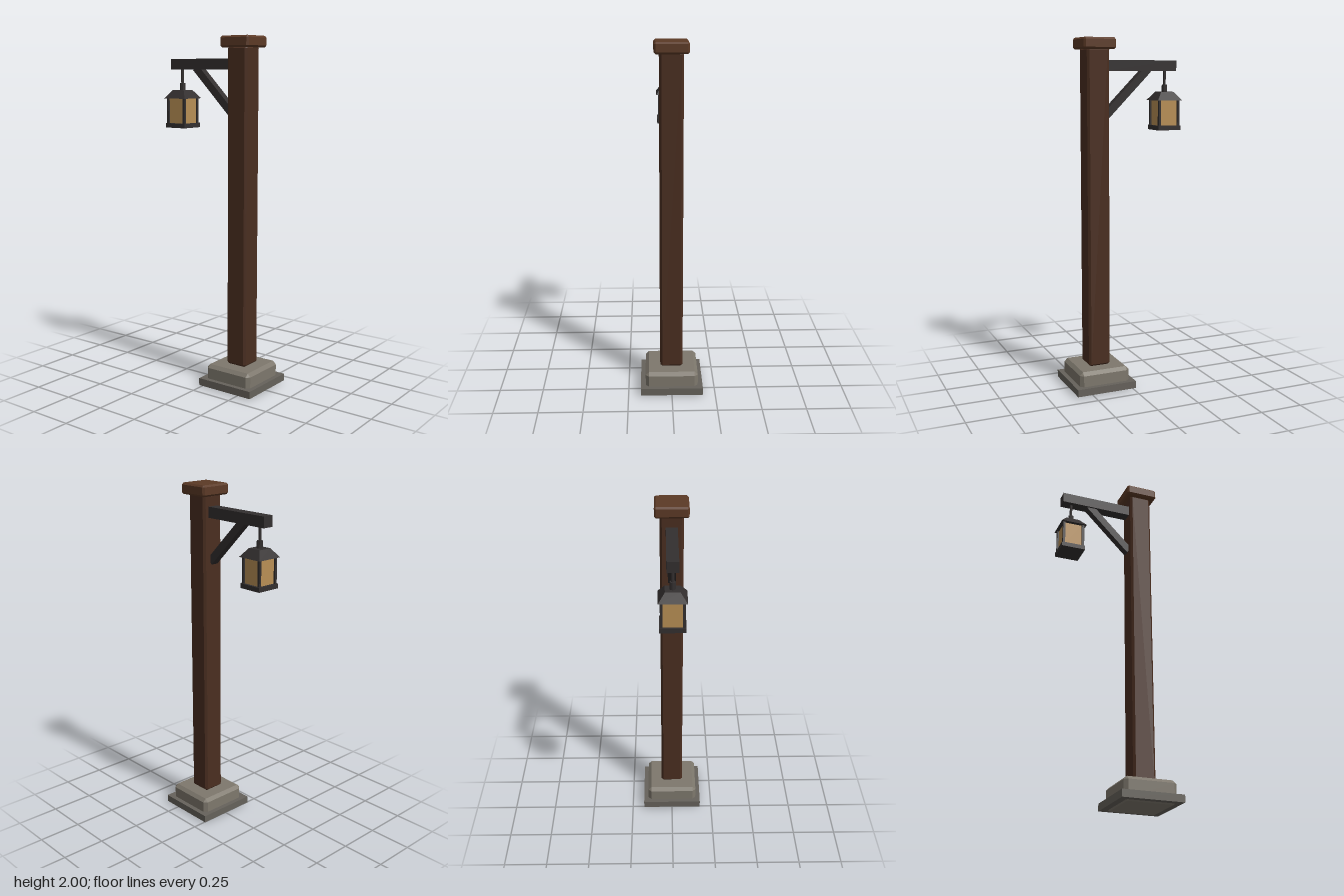
import * as THREE from 'three';
import { ConvexGeometry } from 'three/addons/geometries/ConvexGeometry.js';

const material = (color) => new THREE.MeshStandardMaterial({ color, flatShading: true });

// Box of full size w, h, d with every edge and corner cut by c
function chamferBox(w, h, d, c) {
  const half = [w / 2, h / 2, d / 2];
  const points = [];
  for (const sx of [-1, 1]) for (const sy of [-1, 1]) for (const sz of [-1, 1])
    for (let axis = 0; axis < 3; axis++) {
      const p = [sx, sy, sz].map((s, i) => s * (half[i] - (i === axis ? 0 : c)));
      points.push(new THREE.Vector3(...p));
    }
  return new ConvexGeometry(points);
}

export function createModel() {
  const model = new THREE.Group();
  model.name = 'lanternPost';

  const darkWood = material(0x4a2e20);
  const wood = material(0x5c3a26);
  const stone = material(0x7e786d);
  const darkStone = material(0x66625b);
  const iron = material(0x332f2f);
  const glass = material(0xb88f55);

  const add = (parent, name, geometry, mat, x, y, z) => {
    const mesh = new THREE.Mesh(geometry, mat);
    mesh.name = name;
    mesh.position.set(x, y, z);
    parent.add(mesh);
    return mesh;
  };
  const box = (w, h, d) => new THREE.BoxGeometry(w, h, d);

  // Stone footing, wooden post and cap
  const postZ = 0.165;
  add(model, 'footingSlab', box(0.356, 0.042, 0.356), darkStone, 0, 0.028, postZ);
  add(model, 'footingBlock', chamferBox(0.301, 0.132, 0.301, 0.019), stone, 0, 0.066, postZ);
  add(model, 'post', chamferBox(0.13, 1.815, 0.13, 0.012), darkWood, 0, 1.0375, postZ);
  add(model, 'postCap', chamferBox(0.188, 0.063, 0.188, 0.01), wood, 0, 1.9685, postZ);

  // Iron arm reaching to the back, held by a diagonal brace
  add(model, 'arm', box(0.064, 0.061, 0.44), iron, 0, 1.848, -0.106);
  const low = new THREE.Vector3(0, 1.57, 0.105);
  const high = new THREE.Vector3(0, 1.83, -0.155);
  const mid = low.clone().add(high).multiplyScalar(0.5);
  const brace = add(model, 'brace', box(0.044, 0.044, low.distanceTo(high)), iron, mid.x, mid.y, mid.z);
  brace.lookAt(high);

  // Lantern hanging from the arm
  const lantern = new THREE.Group();
  lantern.name = 'lantern';
  lantern.position.z = -0.267;
  model.add(lantern);

  add(lantern, 'hangerRod', new THREE.CylinderGeometry(0.008, 0.008, 0.1, 8), iron, 0, 1.775, 0);
  add(lantern, 'roofCollar', new THREE.CylinderGeometry(0.016, 0.016, 0.05, 8), iron, 0, 1.717, 0);

  // Roof: a four-sided frustum turned square to the axes
  const roof = new THREE.CylinderGeometry(0.04 * Math.SQRT2, 0.077 * Math.SQRT2, 0.048, 4);
  roof.rotateY(Math.PI / 4);
  add(lantern, 'lanternRoof', roof, iron, 0, 1.677, 0);

  add(lantern, 'lanternGlass', box(0.112, 0.15, 0.112), glass, 0, 1.581, 0);
  for (const sx of [-1, 1]) for (const sz of [-1, 1])
    add(lantern, 'lanternCorner', box(0.014, 0.15, 0.014), iron, sx * 0.059, 1.581, sz * 0.059);
  add(lantern, 'lanternBase', box(0.142, 0.026, 0.142), iron, 0, 1.497, 0);

  return model;
}
